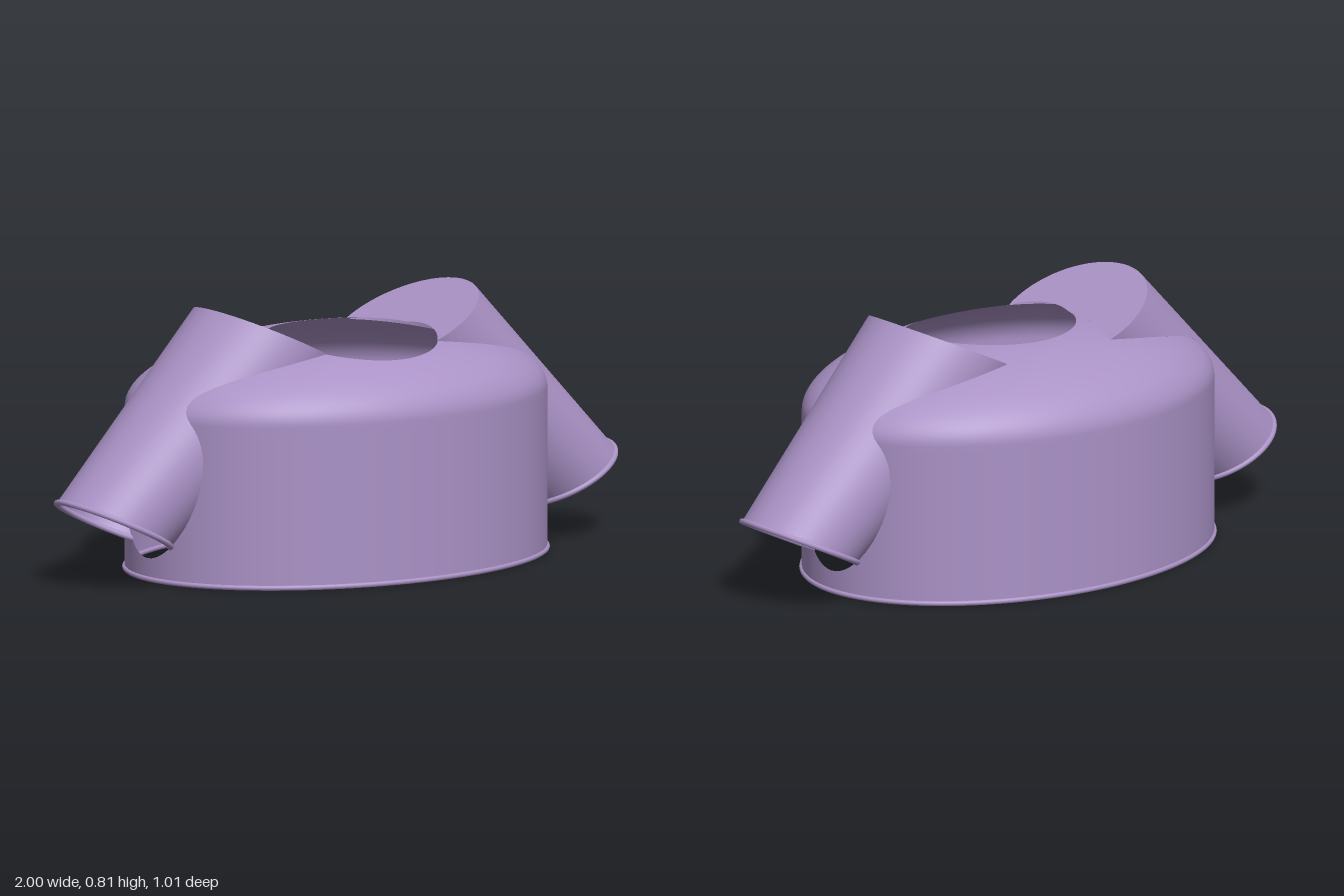
import * as THREE from 'three';
import { mergeVertices } from 'three/addons/utils/BufferGeometryUtils.js';

const material = new THREE.MeshStandardMaterial({ color: 0xaa92c6, side: THREE.DoubleSide });

// Body: elliptic tube with an ellipsoid dome for the shoulders
const RX = 0.7, RZ = 0.5, WALL = 0.5, DOME = 0.22;
// Sleeve: sheared cone of parallel circles, from the cuff (t = 0) to the shoulder (t = 1)
const CUFF = new THREE.Vector2(0.825, 0.185), SHOULDER = new THREE.Vector2(0.25, 0.705);
const R0 = 0.185, R1 = 0.245, TILT = Math.atan2(0.44, 0.898);
const D = new THREE.Vector2(Math.cos(TILT), Math.sin(TILT));
const N = new THREE.Vector2(-D.y, D.x);

// Each function is positive outside its volume
const outsideBody = (p) => Math.hypot(p.x / RX, Math.max(0, p.y - WALL) / DOME, p.z / RZ) - 1;
const outsideNeck = (p) => Math.hypot(p.x, p.z - 0.083) - 0.26;
const outsideSleeve = (p) => {
  const q = new THREE.Vector2(Math.abs(p.x), p.y).sub(CUFF);
  const axis = SHOULDER.clone().sub(CUFF);
  const t = q.dot(N) / axis.dot(N);
  const across = q.addScaledVector(axis, -t).dot(D);
  return Math.max(Math.hypot(across, p.z) - (R0 + (R1 - R0) * t), t - 1);
};

// Trims a geometry, keeping the part where every test is positive
function trim(geometry, tests) {
  const g = geometry.toNonIndexed();
  const P = g.attributes.position, Q = g.attributes.normal;
  const positions = [], normals = [];
  for (let i = 0; i < P.count; i += 3) {
    let poly = [0, 1, 2].map((k) => ({
      p: new THREE.Vector3().fromBufferAttribute(P, i + k),
      n: new THREE.Vector3().fromBufferAttribute(Q, i + k),
    }));
    for (const test of tests) {
      const values = poly.map((v) => test(v.p));
      const next = [];
      poly.forEach((a, k) => {
        const j = (k + 1) % poly.length, b = poly[j];
        if (values[k] >= 0) next.push(a);
        if (values[k] >= 0 !== values[j] >= 0) {
          const f = values[k] / (values[k] - values[j]);
          next.push({ p: a.p.clone().lerp(b.p, f), n: a.n.clone().lerp(b.n, f).normalize() });
        }
      });
      poly = next;
    }
    for (let k = 1; k + 1 < poly.length; k++) {
      for (const v of [poly[0], poly[k], poly[k + 1]]) {
        positions.push(v.p.x, v.p.y, v.p.z);
        normals.push(v.n.x, v.n.y, v.n.z);
      }
    }
  }
  const out = new THREE.BufferGeometry();
  out.setAttribute('position', new THREE.Float32BufferAttribute(positions, 3));
  out.setAttribute('normal', new THREE.Float32BufferAttribute(normals, 3));
  return out;
}

// Moves a unit cylinder or disc into the sheared sleeve cone
function placeOnSleeve(geometry) {
  const P = geometry.attributes.position;
  for (let i = 0; i < P.count; i++) {
    const t = P.getY(i) + 0.5, r = R0 + (R1 - R0) * t;
    const c = CUFF.clone().lerp(SHOULDER, t).addScaledVector(D, r * P.getX(i));
    P.setXYZ(i, c.x, c.y, r * P.getZ(i));
  }
  geometry.deleteAttribute('uv');
  geometry.deleteAttribute('normal');
  const merged = mergeVertices(geometry, 1e-5);
  merged.computeVertexNormals();
  return merged;
}

function add(group, name, geometry) {
  const mesh = new THREE.Mesh(geometry, material);
  mesh.name = name;
  group.add(mesh);
}

function createSleeve(name, side) {
  const sleeve = new THREE.Group();
  sleeve.name = name;

  // Tube of the sleeve
  const tube = placeOnSleeve(new THREE.CylinderGeometry(1, 1, 1, 96, 48, true));
  add(sleeve, 'sleeveTube', trim(tube, [outsideBody, outsideNeck]));

  // Flat face closing the sleeve at the shoulder
  const disc = new THREE.RingGeometry(0.001, 1, 96, 24);
  disc.rotateX(-Math.PI / 2).translate(0, 0.5, 0);
  add(sleeve, 'shoulderCap', trim(placeOnSleeve(disc), [outsideBody, outsideNeck]));

  // Rolled hem at the cuff
  const hem = new THREE.TorusGeometry(R0, 0.009, 10, 96);
  hem.rotateX(Math.PI / 2).rotateZ(TILT).translate(CUFF.x, CUFF.y, 0);
  add(sleeve, 'cuffHem', trim(hem, [outsideBody]));

  sleeve.scale.x = side;
  return sleeve;
}

export function createModel() {
  const model = new THREE.Group();
  model.name = 'shortSleevedTop';

  // Body with neck opening and armholes
  const profile = [];
  for (let i = 0; i < 24; i++) profile.push(new THREE.Vector2(1, 0.005 + (WALL - 0.005) * i / 24));
  for (let i = 0; i <= 36; i++) {
    const a = (i / 36) * Math.PI / 2;
    profile.push(new THREE.Vector2(Math.max(Math.cos(a), 0.0001), WALL + DOME * Math.sin(a)));
  }
  const body = new THREE.LatheGeometry(profile, 160).scale(RX, 1, RZ);
  add(model, 'body', trim(body, [outsideNeck, outsideSleeve]));

  // Rolled hem at the waist
  const hem = new THREE.TorusGeometry(1, 0.012, 10, 160);
  hem.rotateX(Math.PI / 2).scale(RX, 0.65, RZ).translate(0, 0.0078, 0);
  add(model, 'waistHem', hem);

  model.add(createSleeve('leftSleeve', 1), createSleeve('rightSleeve', -1));
  return model;
}
